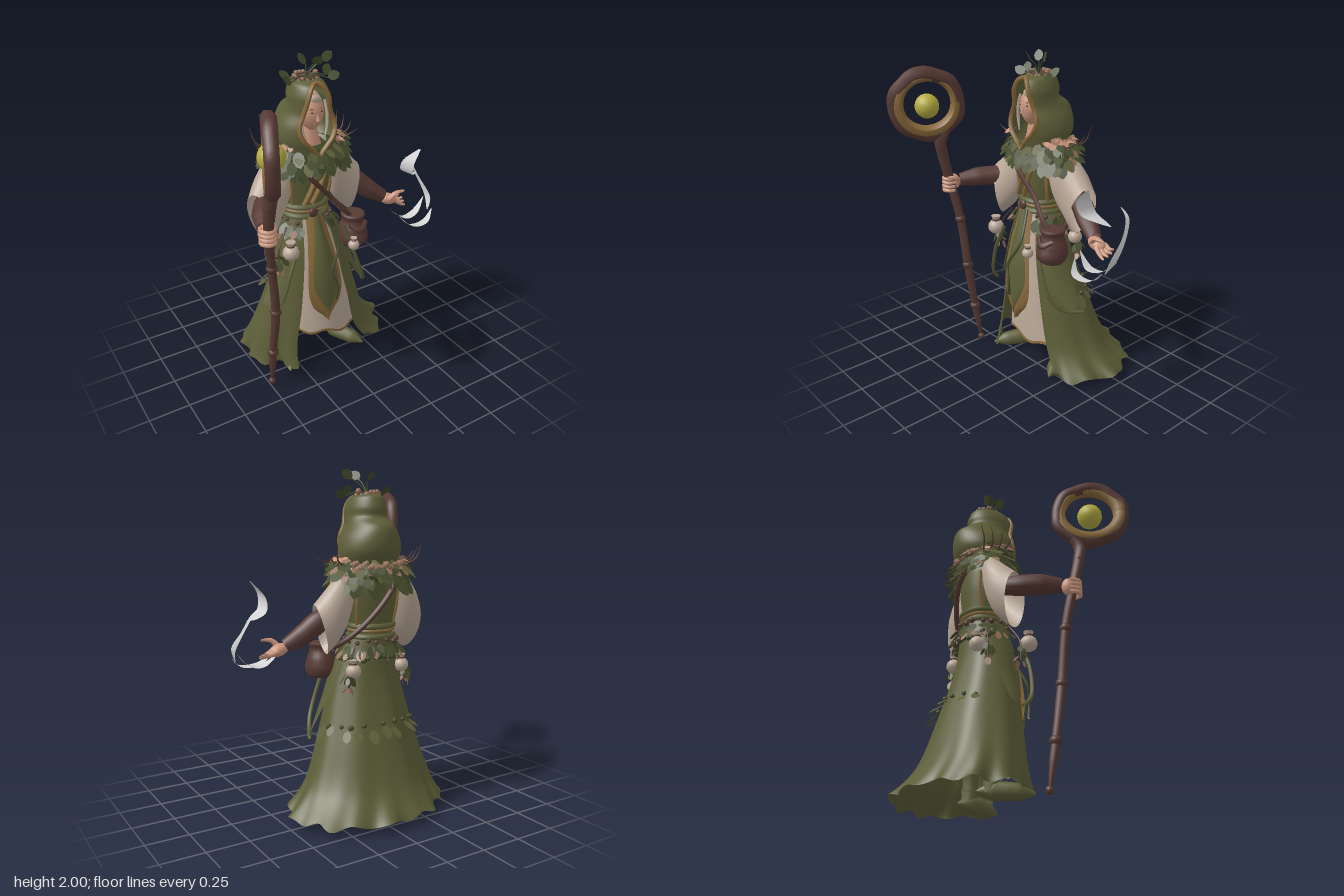
import * as THREE from 'three';
import { mergeGeometries } from 'three/addons/utils/BufferGeometryUtils.js';
import { ParametricGeometry } from 'three/addons/geometries/ParametricGeometry.js';

const PI = Math.PI, V = (x, y, z) => new THREE.Vector3(x, y, z);
const rad = d => d * PI / 180;

export function createModel() {
  const model = new THREE.Group();
  let seed = 7;
  const rand = () => (seed = (seed * 16807) % 2147483647) / 2147483647;

  const mats = {};
  for (const [name, color] of Object.entries({
    robeGreen: 0x5d5e38, leafGreen: 0x434a2b, barkBrown: 0x573a34, trimGold: 0x88693a, linenCream: 0xb9a797,
    skin: 0xcb967d, petalTan: 0x94705a, orbYellow: 0xb5ad42, silver: 0xd4d4d4,
  })) mats[name] = Object.assign(new THREE.MeshStandardMaterial({ color, side: THREE.DoubleSide }), { name });
  const { robeGreen, leafGreen, barkBrown, trimGold, linenCream, skin, petalTan, orbYellow, silver } = mats;

  const add = (name, geo, mat, pos = [0, 0, 0], scale = [1, 1, 1], rot = [0, 0, 0]) => {
    const m = new THREE.Mesh(geo, mat);
    m.name = name;
    m.position.set(...pos); m.scale.set(...scale); m.rotation.set(...rot);
    model.add(m);
    return m;
  };
  const ball = (name, mat, pos, scale, rot) => add(name, new THREE.SphereGeometry(1, 16, 12), mat, pos, scale, rot);

  // Smooth interpolation through rows of numbers
  const track = rows => v => {
    const f = Math.min(Math.max(v, 0), 1) * (rows.length - 1), i = Math.min(Math.floor(f), rows.length - 2), t = f - i;
    const r = k => rows[Math.min(Math.max(i + k, 0), rows.length - 1)];
    return rows[0].map((_, c) => {
      const [a, b, d, e] = [r(-1)[c], r(0)[c], r(1)[c], r(2)[c]];
      return b + 0.5 * t * (d - a + t * (2 * a - 5 * b + 4 * d - e + t * (3 * (b - d) + e - a)));
    });
  };
  // Elliptical wall from rows [y, cx, cz, rx, rz, halfOpening]; angle 0 faces front
  const wall = (rows, a0 = 0, a1 = 360, tweak) => {
    const at = track(rows);
    return (u, v, p) => {
      const [y, cx, cz, rx, rz, open = 0] = at(v);
      const a = rad(a0 + open + (a1 - a0 - 2 * open) * u);
      p.set(cx + Math.max(rx, .002) * Math.sin(a), y, cz + Math.max(rz, .002) * Math.cos(a));
      if (tweak) tweak(p, a, v);
    };
  };
  const surf = (name, fn, mat, nu = 32, nv = 16) => add(name, new ParametricGeometry(fn, nu, nv), mat);

  // Tube whose radius follows a list of values
  const tube = (name, pts, radii, mat, seg = 20, sides = 8, closed = false) => {
    const curve = new THREE.CatmullRomCurve3(pts.map(p => p.isVector3 ? p : V(...p)), closed);
    const g = new THREE.TubeGeometry(curve, seg, 1, sides, closed), pos = g.attributes.position, v = V();
    for (let i = 0; i <= seg; i++) {
      const c = curve.getPointAt(i / seg), f = i / seg * (radii.length - 1), k = Math.min(Math.floor(f), radii.length - 2);
      const r = radii.length > 1 ? radii[k] + (radii[k + 1] - radii[k]) * (f - k) : radii[0];
      for (let j = 0; j <= sides; j++) {
        const n = i * (sides + 1) + j;
        v.fromBufferAttribute(pos, n).sub(c).multiplyScalar(r).add(c);
        pos.setXYZ(n, v.x, v.y, v.z);
      }
    }
    g.computeVertexNormals();
    return add(name, g, mat);
  };

  // Folded leaf, one unit long, growing along +y
  const shape = new THREE.Shape();
  shape.moveTo(0, 0);
  shape.bezierCurveTo(.38, .15, .4, .75, 0, 1);
  shape.bezierCurveTo(-.4, .75, -.38, .15, 0, 0);
  const leaf = new THREE.ShapeGeometry(shape, 5), lp = leaf.attributes.position;
  for (let i = 0; i < lp.count; i++) lp.setZ(i, .35 * lp.getY(i) * (1 - lp.getY(i)) - .3 * Math.abs(lp.getX(i)));
  leaf.computeVertexNormals();
  const leafAt = (pos, dir, out, len, wide = 1) => {
    const y = dir.clone().normalize(), x = y.clone().cross(out).normalize(), z = x.clone().cross(y);
    return leaf.clone().applyMatrix4(new THREE.Matrix4().makeBasis(x.multiplyScalar(len * wide), y.multiplyScalar(len), z.multiplyScalar(len)).setPosition(pos));
  };
  const leafRing = (name, mat, n, [y, cx, cz, rx, rz], len, tilt, a0 = 0, a1 = 360, wide = 1) => {
    const list = [];
    for (let i = 0; i < n; i++) {
      const a = rad(a0 + (a1 - a0) * (i + rand() * .7) / n), s = Math.sin(a), c = Math.cos(a);
      const out = V(s / rx, 0, c / rz).normalize();
      const dir = out.clone().multiplyScalar(tilt * (.5 + rand())).add(V((rand() - .5) * .7, -1, (rand() - .5) * .5));
      list.push(leafAt(V(cx + rx * s, y + (rand() - .5) * .03, cz + rz * c), dir, out, len * (.75 + rand() * .5), wide));
    }
    add(name, mergeGeometries(list), mat);
  };
  const beadRing = (name, mat, n, [y, cx, cz, rx, rz], r, a0 = 0, a1 = 360) => {
    const list = [];
    for (let i = 0; i < n; i++) {
      const a = rad(a0 + (a1 - a0) * (i + rand() * .5) / n);
      list.push(new THREE.SphereGeometry(r * (.8 + rand() * .5), 7, 5).translate(cx + rx * Math.sin(a), y + (rand() - .5) * .03, cz + rz * Math.cos(a)));
    }
    add(name, mergeGeometries(list), mat);
  };

  // Long outer skirt, open at the front, with a ragged hem
  const skirt = [[.05, -.02, -.22, .49, .36], [.2, -.065, -.182, .4, .285], [.47, -.075, -.14, .305, .23], [.8, -.09, -.105, .215, .168], [1.06, -.11, -.13, .135, .125]];
  surf('outerSkirt', wall(skirt, 33, 327, (p, a, v) => {
    const k = (1 - v) ** 6, w = Math.sin(a * 9) + .6 * Math.sin(a * 17 + 1), f = .008 * (1 - v) * Math.sin(a * 8);
    p.x += Math.sin(a) * (k * w * .018 + f); p.z += Math.cos(a) * (k * w * .018 + f); p.y += k * .013 * Math.sin(a * 13);
  }), robeGreen, 110, 28);

  // Draped side panels, longest in the middle
  const drapeAt = wall([[.48, -.08, -.13, .37, .215], [.66, -.08, -.11, .28, .2], [.86, -.09, -.11, .215, .172], [1.05, -.11, -.13, .14, .13]], 0, 360);
  for (const [side, from, to] of [['left', 38, 100], ['right', 260, 322]])
    surf(side + 'Drape', (u, v, p) => drapeAt((from + (to - from) * u) / 360, 1 - (1 - v) * (.45 + .55 * Math.sin(PI * u)), p), robeGreen, 16, 14);

  // Linen underskirt with a slanting trimmed hem and a green lining
  const slant = (p, a, v) => { p.y -= (1 - v) * (.15 * (p.x + .05) + .015 * Math.sin(a * 7)); };
  const under = [[.235, -.035, -.1, .25, .195], [.5, -.06, -.105, .2, .178], [.8, -.09, -.115, .16, .152], [1.03, -.11, -.13, .12, .12]];
  const underAt = wall(under, -75, 75, slant);
  surf('underskirt', underAt, linenCream, 32, 14);
  surf('underskirtLining', (u, v, p) => { underAt(u, v, p); p.x = -.07 + (p.x + .07) * .975; p.z -= .008; }, robeGreen, 32, 14);
  surf('underskirtTrim', (u, v, p) => { underAt(u, v * .035, p); p.x += (u - .5) * .012; p.z += .005; }, trimGold, 32, 2);

  // Pointed front panel with a border
  const panelWidth = track([[.004], [.085], [.115], [.112], [.1], [.085], [.07], [.06]]);
  const panel = (inset, lift) => (u, v, p) => {
    const s = 2 * u - 1, y = .35 + inset * 1.6 + v * (.7 - inset * 1.6);
    p.set(-.085 - .025 * v + s * Math.max(panelWidth(v)[0] - inset, .002), y, .12 - .1 * v + .035 * Math.sin(PI * v) + lift - .03 * s * s);
  };
  surf('frontPanelBorder', panel(0, 0), trimGold, 10, 24);
  surf('frontPanel', panel(.024, .007), robeGreen, 10, 24);

  // Torso, belt and tunic trim
  surf('torso', wall([[1.0, -.11, -.13, .13, .12], [1.1, -.11, -.13, .13, .115], [1.28, -.105, -.13, .17, .13], [1.4, -.1, -.13, .17, .12], [1.5, -.1, -.12, .08, .08]]), robeGreen, 32, 16);
  for (const [y, mat, r] of [[1.045, robeGreen, .017], [1.08, trimGold, .01], [1.105, robeGreen, .017]])
    tube('belt', Array.from({ length: 12 }, (_, i) => [-.11 + .138 * Math.sin(i * PI / 6), y, -.13 + .125 * Math.cos(i * PI / 6)]), [r], mat, 40, 6, true);
  ball('buckle', barkBrown, [-.125, 1.075, .008], [.03, .03, .015]);
  for (const x of [-.15, -.095])
    tube('tunicTrim', [[x - .03, 1.13, -.006], [x + .02, 1.24, .008], [x + .05, 1.32, .006]], [.014], trimGold, 10, 6);
  for (const [x, z] of [[-.235, -.05], [.025, -.05], [-.245, -.2], [.035, -.2]])
    tube('sideTrim', [[-.11 + (x + .11) * .88, 1.09, z * .7 - .04], [x, 1.22, z], [x - .01, 1.34, z]], [.01], trimGold, 10, 6);

  // Hanging cords
  tube('frontCord', [[-.07, 1.06, .02], [-.02, .88, .12], [-.09, .73, .16], [-.06, .63, .18], [-.07, .54, .17]], [.009], leafGreen, 24, 6);
  tube('leftCord', [[.06, .95, .05], [.13, .73, .08], [.2, .55, .06], [.25, .48, -.02], [.3, .47, -.11]], [.012], robeGreen, 24, 6);
  tube('rightCord', [[-.26, .9, .05], [-.33, .72, .07], [-.38, .55, .05], [-.43, .47, -.02]], [.012], robeGreen, 24, 6);

  // Boots
  for (const [side, x, t] of [['left', .1, 1], ['right', -.25, -1]]) {
    tube(side + 'Boot', [[x - t * .04, .5, -.13], [x - t * .01, .3, -.12], [x, .17, -.12], [x, .04, -.13]], [.06, .06, .045, .045], robeGreen, 14, 12);
    tube(side + 'Foot', [[x - t * .02, .05, -.2], [x, .055, -.12], [x + t * .05, .05, -.02], [x + t * .1, .035, .08]], [.01, .052, .05, .045, .005], robeGreen, 18, 12);
    tube(side + 'BootCuff', [[x - t * .01, .32, -.12], [x - t * .01, .27, -.12]], [.066, .062], robeGreen, 2, 12);
    tube(side + 'AnkleBand', [[x, .14, -.12], [x, .115, -.12]], [.052], robeGreen, 2, 12);
  }

  // Wide hanging sleeves, bracers
  const sleeve = (name, rows, dx, dz) => {
    const at = track(rows);
    surf(name, (u, v, p) => {
      const [x, y, z, rv, rl] = at(v), a = u * 2 * PI, s = Math.sin(a), c = Math.cos(a) * rl;
      p.set(x + dz * c + dx * s * .04 * v, y + rv * s, z - dx * c);
    }, linenCream, 24, 12);
  };
  sleeve('rightSleeve', [[-.2, 1.39, -.13, .06, .06], [-.285, 1.27, -.13, .155, .095], [-.36, 1.17, -.11, .165, .1], [-.43, 1.09, -.06, .155, .09]], -.86, .5);
  sleeve('leftSleeve', [[0, 1.39, -.13, .06, .06], [.085, 1.27, -.14, .155, .095], [.165, 1.18, -.15, .16, .1], [.24, 1.1, -.14, .145, .09]], .98, .2);
  tube('rightBracer', [[-.36, 1.2, -.1], [-.42, 1.185, -.04], [-.48, 1.18, .06], [-.535, 1.17, .18]], [.05, .06, .06, .04], barkBrown, 16, 12);
  tube('leftBracer', [[.16, 1.2, -.14], [.24, 1.15, -.13], [.32, 1.08, -.1], [.42, 1.01, -.06]], [.05, .065, .06, .042], barkBrown, 16, 12);

  // Hands: one gripping, one open
  ball('rightPalm', skin, [-.55, 1.16, .215], [.035, .052, .04]);
  for (let i = 0; i < 4; i++) {
    const y = 1.195 - i * .025;
    tube('rightFinger', [[-.57, y, .21], [-.583, y, .25], [-.55, y, .288], [-.51, y, .27], [-.505, y, .24]], [.014, .013, .01], skin, 12, 6);
  }
  tube('rightThumb', [[-.52, 1.18, .2], [-.5, 1.2, .24], [-.52, 1.205, .28]], [.016, .01], skin, 8, 6);
  ball('leftPalm', skin, [.455, .99, -.045], [.06, .036, .042], [0, 0, -.3]);
  for (let i = 0; i < 4; i++)
    tube('leftFinger', [[.48, .985, -.08 + i * .022], [.53, .97 - i * .007, -.075 + i * .024], [.57 - Math.abs(i - 1.3) * .01, .985 - i * .015, -.07 + i * .024]], [.016, .014, .007], skin, 8, 6);
  tube('leftThumb', [[.44, 1.0, -.02], [.48, 1.04, .0], [.54, 1.045, .005]], [.018, .015, .007], skin, 8, 6);

  // Gnarled staff with a ringed head and an orb
  const shaft = [[-.485, 0, .09], [-.485, .03, .092], [-.49, .28, .13], [-.485, .6, .18], [-.51, .92, .205], [-.54, 1.155, .245], [-.545, 1.35, .29], [-.54, 1.44, .305], [-.53, 1.52, .275]];
  tube('staffShaft', shaft, [.005, .023, .024, .027, .027, .026, .028, .03, .034, .04], barkBrown, 60, 8);
  for (const i of [2, 3, 4, 6]) ball('staffKnot', barkBrown, shaft[i], [.034, .03, .034]);
  ball('staffFoot', barkBrown, [-.485, .025, .09], [.022, .024, .022]);
  const hoop = (r, wob) => Array.from({ length: 16 }, (_, i) => {
    const a = i * PI / 8, k = r + wob * Math.sin(i * 2.3);
    return V(-.572 - .43 * k * Math.cos(a), 1.668 + k * Math.sin(a), .367 + .97 * k * Math.cos(a));
  });
  tube('staffRing', hoop(.183, .006), [.038, .043, .036, .042, .038], barkBrown, 64, 8, true);
  tube('staffRingInlay', hoop(.167, 0), [.042, .035, .031, .036, .042, .043, .042], trimGold, 48, 8, true);
  ball('orb', orbYellow, [-.565, 1.66, .37], [.073, .073, .073]);

  // Hood with an open face, stacked folds and a trimmed edge
  const hoodRows = [[1.44, -.1, -.1, .15, .14, 3], [1.48, -.1, -.115, .172, .16, 12], [1.54, -.1, -.125, .185, .185, 30], [1.61, -.1, -.125, .17, .192, 42], [1.68, -.1, -.12, .132, .18, 42],
    [1.73, -.1, -.085, .116, .145, 40], [1.78, -.1, -.085, .112, .145, 34], [1.83, -.1, -.09, .095, .125, 24], [1.85, -.1, -.1, .075, .1, 4], [1.86, -.1, -.11, .05, .06, 0], [1.862, -.1, -.11, .003, .003, 0]];
  const hoodAt = wall(hoodRows);
  surf('hood', hoodAt, robeGreen, 48, 44);
  const edge = Array.from({ length: 13 }, (_, i) => { const p = V(); hoodAt(0, i / 12 * .78, p); return p; });
  tube('hoodTrim', [...edge, ...edge.slice().reverse().map(p => V(-.2 - p.x, p.y, p.z))], [.014], trimGold, 80, 6, true);

  // Head, hair and face
  const skull = new THREE.SphereGeometry(1, 24, 18), sp = skull.attributes.position;
  for (let i = 0; i < sp.count; i++) sp.setX(i, sp.getX(i) * (1 - .38 * Math.max(0, -sp.getY(i)) ** 1.3));
  skull.computeVertexNormals();
  add('head', skull, skin, [-.1, 1.675, -.06], [.078, .11, .083]);
  tube('neck', [[-.1, 1.42, -.1], [-.1, 1.5, -.085], [-.1, 1.62, -.085]], [.1, .06, .042], skin, 8, 12);
  add('nose', new THREE.ConeGeometry(.012, .05, 6), skin, [-.1, 1.668, .024], [1, 1, 1], [-.25, 0, 0]);
  ball('hairCap', linenCream, [-.1, 1.705, -.09], [.083, .092, .085]);
  ball('forelock', linenCream, [-.09, 1.755, -.005], [.035, .024, .014], [0, 0, -.3]);
  for (const s of [-1, 1]) {
    ball('eye', barkBrown, [-.1 + s * .029, 1.69, .015], [.01, .004, .003]);
    ball('brow', petalTan, [-.1 + s * .03, 1.71, .012], [.018, .004, .005], [0, 0, s * .15]);
    tube('sideLock', [[-.1 + s * .07, 1.74, -.02], [-.1 + s * .08, 1.67, -.01], [-.1 + s * .08, 1.59, -.01], [-.1 + s * .06, 1.53, 0]], [.008, .01, .01, .003], linenCream, 14, 6);
  }
  ball('mouth', petalTan, [-.1, 1.622, .011], [.018, .004, .005]);

  // Leaf mantle over the shoulders
  surf('mantleBase', wall([[1.35, -.1, -.13, .22, .14], [1.4, -.1, -.13, .23, .155], [1.46, -.1, -.12, .19, .15], [1.49, -.1, -.11, .12, .11]]), leafGreen, 32, 8);
  [[1.39, .235, .15, .1, .5], [1.43, .235, .16, .1, .8], [1.47, .2, .15, .095, 1]].forEach(([y, rx, rz, len, tilt]) => {
    leafRing('mantleLeaves', leafGreen, 34, [y, -.1, -.125, rx, rz], len, tilt, 0, 360, 1.1);
    leafRing('mantleLightLeaves', robeGreen, 14, [y + .01, -.1, -.125, rx, rz], len * .9, tilt + .2);
    leafRing('mantleDryLeaves', petalTan, 9, [y + .01, -.1, -.125, rx, rz], .06, tilt + .3, 90, 270, 1.2);
  });
  for (const [a0, a1] of [[48, 118], [242, 312]]) {
    leafRing('shoulderLeaves', leafGreen, 9, [1.48, -.1, -.125, .24, .16], .06, 1.3, a0, a1, 1.1);
    leafRing('shoulderPetals', petalTan, 12, [1.505, -.1, -.125, .185, .14], .06, 1.5, a0, a1, 1.3);
    leafRing('shoulderPinkPetals', skin, 9, [1.5, -.1, -.125, .215, .15], .05, 1.6, a0, a1, 1.3);
  }
  beadRing('mantleBeads', petalTan, 24, [1.46, -.1, -.125, .205, .175], .017, 120, 240);
  for (const s of [-1, 1]) for (let i = 0; i < 4; i++)
    tube('twig', [[-.1 + s * .2, 1.45, -.2 + i * .04], [-.1 + s * (.27 + i * .01), 1.49, -.22 + i * .05], [-.1 + s * (.29 + i * .015), 1.58 - i * .025, -.25 + i * .06]], [.006, .005, .001], barkBrown, 8, 5);

  // Shoulder strap and satchel
  tube('strap', [[-.23, 1.42, -.06], [-.16, 1.32, .02], [-.02, 1.16, .01], [.1, 1.02, .03], [.15, .96, .0], [.11, 1.02, -.17], [-.02, 1.16, -.265], [-.16, 1.33, -.28], [-.25, 1.44, -.18]], [.016], barkBrown, 60, 6, true);
  surf('satchel', wall([[.79, .15, .015, .004, .004], [.795, .15, .015, .07, .065], [.84, .15, .015, .09, .1], [.9, .15, .01, .084, .09], [.96, .15, .01, .064, .07], [1.0, .15, .01, .072, .075], [1.0, .15, .01, .004, .004]]), barkBrown, 24, 18);
  tube('satchelFlap', [[.09, .95, .065], [.15, .915, .1], [.21, .95, .065]], [.012, .022, .012], barkBrown, 10, 6);

  // Linen pouches tied with cord
  for (const [x, y, z, r] of [[-.315, .89, .07, .05], [.075, .86, .14, .034], [.08, .86, -.24, .045], [-.27, .86, -.22, .045]]) {
    ball('pouch', linenCream, [x, y, z], [r, r * .95, r]);
    add('pouchNeck', new THREE.CylinderGeometry(r * .6, r * .35, r * .6, 10, 1), linenCream, [x, y + r * 1.15, z]);
    add('pouchTie', new THREE.TorusGeometry(r * .42, r * .12, 6, 12), barkBrown, [x, y + r * .95, z], [1, 1, 1], [PI / 2, 0, 0]);
  }

  // Hip garland and leaf band on the back of the skirt
  leafRing('hipLeaves', leafGreen, 34, [1.0, -.105, -.125, .17, .15], .075, .7, 30, 330);
  leafRing('hipDryLeaves', petalTan, 14, [.97, -.1, -.12, .185, .16], .06, .7, 40, 320);
  beadRing('hipBerries', leafGreen, 18, [.93, -.1, -.115, .192, .165], .017, 90, 270);
  beadRing('hipSeeds', barkBrown, 14, [1.02, -.11, -.13, .16, .145], .014, 30, 330);
  for (const [x, z] of [[-.36, .0], [.11, -.24], [-.33, -.18]]) {
    leafRing('hangingLeaves', leafGreen, 7, [.83, x, z, .02, .02], .06, .5);
    leafRing('hangingDryLeaves', petalTan, 4, [.77, x, z, .015, .015], .055, .4);
    tube('hangingCord', [[-.1 + (x + .1) * .7, 1.0, -.13 + (z + .13) * .7], [x, .87, z], [x, .76, z]], [.005], barkBrown, 8, 5);
  }
  leafRing('skirtLeaves', robeGreen, 10, [.54, -.075, -.137, .292, .222], .085, 1, 90, 250, 1.1);
  beadRing('skirtBerries', leafGreen, 9, [.55, -.075, -.135, .29, .222], .015, 100, 250);

  // Crown wreath and sprout
  add('wreath', new THREE.TorusGeometry(.058, .012, 6, 20), barkBrown, [-.1, 1.858, -.105], [1, 1, 1], [PI / 2, 0, 0]);
  beadRing('wreathSeeds', petalTan, 16, [1.863, -.1, -.105, .064, .064], .014);
  leafRing('wreathLeaves', leafGreen, 14, [1.871, -.1, -.105, .05, .05], .04, 1.6);
  const sprout = [[-.02, 1.945, -.06, .06, .06, .02], [-.1, 1.93, -.1, -.04, .07, -.03], [-.09, 1.945, -.03, .02, .055, .06], [-.2, 1.85, -.08, -.06, .03, .02], [.01, 1.85, -.05, .07, .02, .01], [.01, 1.86, -.08, .05, .05, -.04], [-.2, 1.86, -.1, -.04, .04, -.03]];
  for (const [x, y, z, dx, dy, dz] of sprout) {
    tube('sproutStem', [[-.1, 1.86, -.1], [(x - .1) / 2, (y + 1.885) / 2, (z - .1) / 2], [x, y, z]], [.005, .004], leafGreen, 8, 5);
    add('sproutLeaf', leafAt(V(x, y, z), V(dx, dy, dz), V(.2, .6, .7), .075, 1.3), leafGreen);
  }

  // Swirling ribbons around the open hand
  const ribbons = [
    [[.545, 1.37, .13, .02], [.49, 1.29, .1, .11], [.5, 1.21, .07, .12], [.57, 1.17, .03, .06], [.62, 1.16, .02, .005]],
    [[.59, 1.24, -.08, .005], [.64, 1.19, -.08, .03], [.67, 1.1, -.03, .035], [.685, 1.0, .06, .06], [.66, .92, .1, .01]],
    [[.67, .94, .13, .005], [.62, .885, .15, .05], [.55, .87, .16, .06], [.48, .885, .15, .05], [.43, .94, .1, .005]],
    [[.68, .98, .03, .005], [.6, .9, .05, .06], [.5, .89, .06, .06], [.41, .96, .04, .005]]];
  for (const rows of ribbons) {
    const at = track(rows);
    surf('ribbon', (u, v, p) => { const [x, y, z, w] = at(v); p.set(x, y + (u - .5) * w * .12, z + (u - .5) * w); }, silver, 3, 24);
  }
  return model;
}
